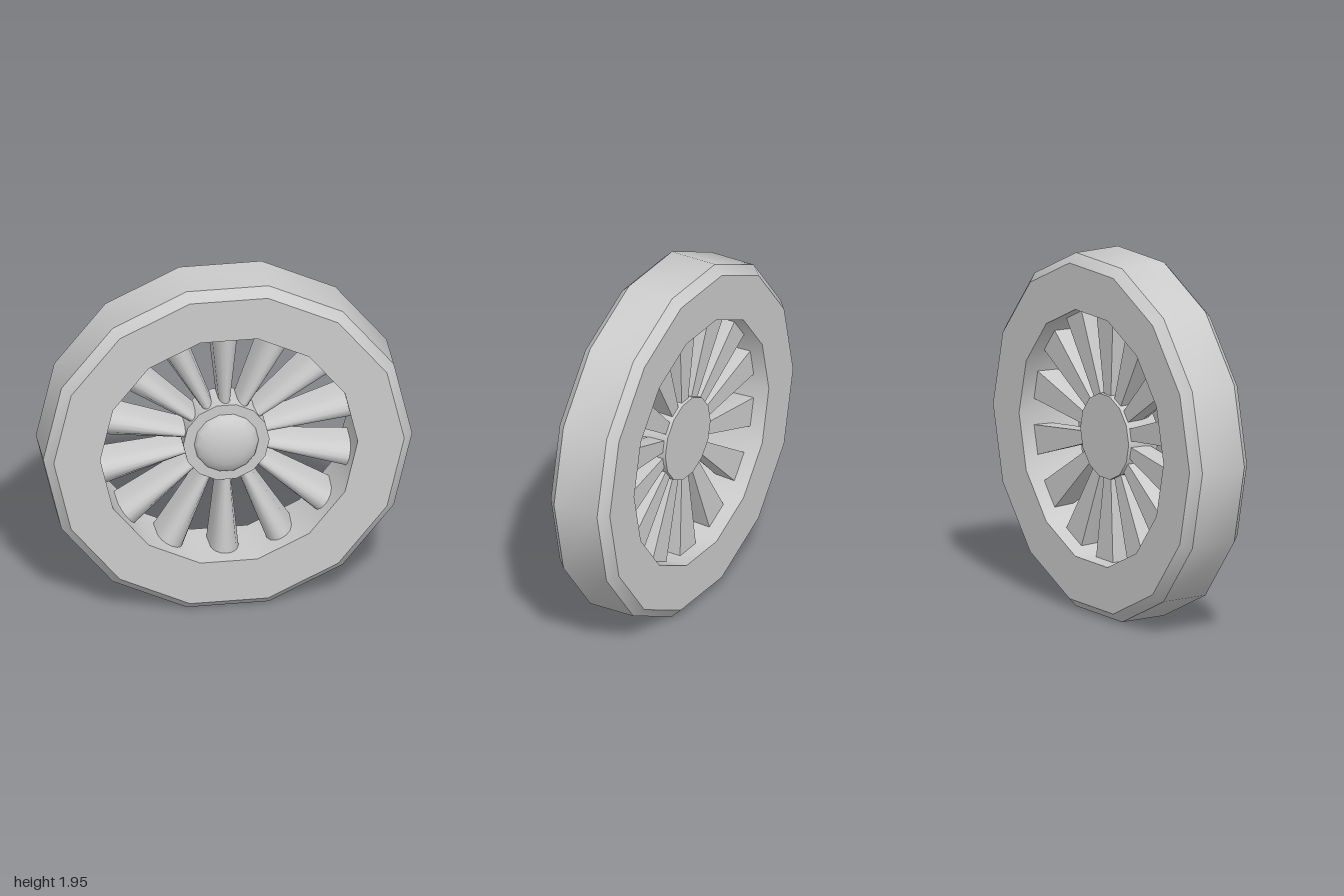
import * as THREE from 'three';
import { toCreasedNormals } from 'three/addons/utils/BufferGeometryUtils.js';

const SIDES = 14;
const CENTER_Y = Math.cos(Math.PI / SIDES); // flat side rests on the ground
const material = new THREE.MeshStandardMaterial({ color: 0xcccccc });

// Turned part about the z axis; profile is [radius, z], with a corner on +x
function turned(name, profile) {
  const geo = new THREE.LatheGeometry(profile.map(([r, z]) => new THREE.Vector2(r, z)), SIDES);
  geo.rotateY(Math.PI / 2);
  geo.rotateX(Math.PI / 2);
  const mesh = new THREE.Mesh(toCreasedNormals(geo, 0.6), material);
  mesh.name = name;
  return mesh;
}

// Tapered spoke along +y: flat at the back, rounded at the front
function spokeGeometry() {
  const inner = 0.2, outer = 0.688;
  const geo = new THREE.CylinderGeometry(0.082, 0.031, outer - inner, 16, 1);
  const pos = geo.attributes.position;
  for (let i = 0; i < pos.count; i++) {
    const tip = pos.getY(i) > 0;
    const radius = tip ? 0.082 : 0.031;
    const back = tip ? -0.1 : -0.08;
    const front = tip ? 0.1 : 0.07;
    const bulge = Math.sqrt(Math.max(0, pos.getZ(i) / radius));
    pos.setZ(i, back + (front - back) * bulge);
  }
  geo.translate(0, (inner + outer) / 2, 0);
  return toCreasedNormals(geo, 0.9);
}

export function createModel() {
  const wheel = new THREE.Group();
  wheel.name = 'wheel';

  // Bevelled rim
  wheel.add(turned('rim', [
    [0.698, -0.185], [0.95, -0.185], [1, -0.135], [1, 0.135],
    [0.95, 0.185], [0.698, 0.185], [0.698, -0.185],
  ]));

  // Hub disc
  wheel.add(turned('hub', [
    [0, -0.1], [0.234, -0.1], [0.234, 0.09], [0.17, 0.09],
  ]));

  // Domed hub cap
  const dome = [];
  for (let i = 0; i <= 5; i++) {
    const a = (i / 5) * Math.PI / 2;
    dome.push([0.175 * Math.cos(a), 0.09 + 0.08 * Math.sin(a)]);
  }
  wheel.add(turned('hubCap', dome));

  // Spokes, one per flat of the rim
  const geo = spokeGeometry();
  const spokes = new THREE.Group();
  spokes.name = 'spokes';
  for (let i = 0; i < SIDES; i++) {
    const spoke = new THREE.Mesh(geo, material);
    spoke.name = 'spoke';
    spoke.rotation.z = (i / SIDES) * Math.PI * 2;
    spokes.add(spoke);
  }
  wheel.add(spokes);

  wheel.position.y = CENTER_Y;
  const model = new THREE.Group();
  model.add(wheel);
  return model;
}
